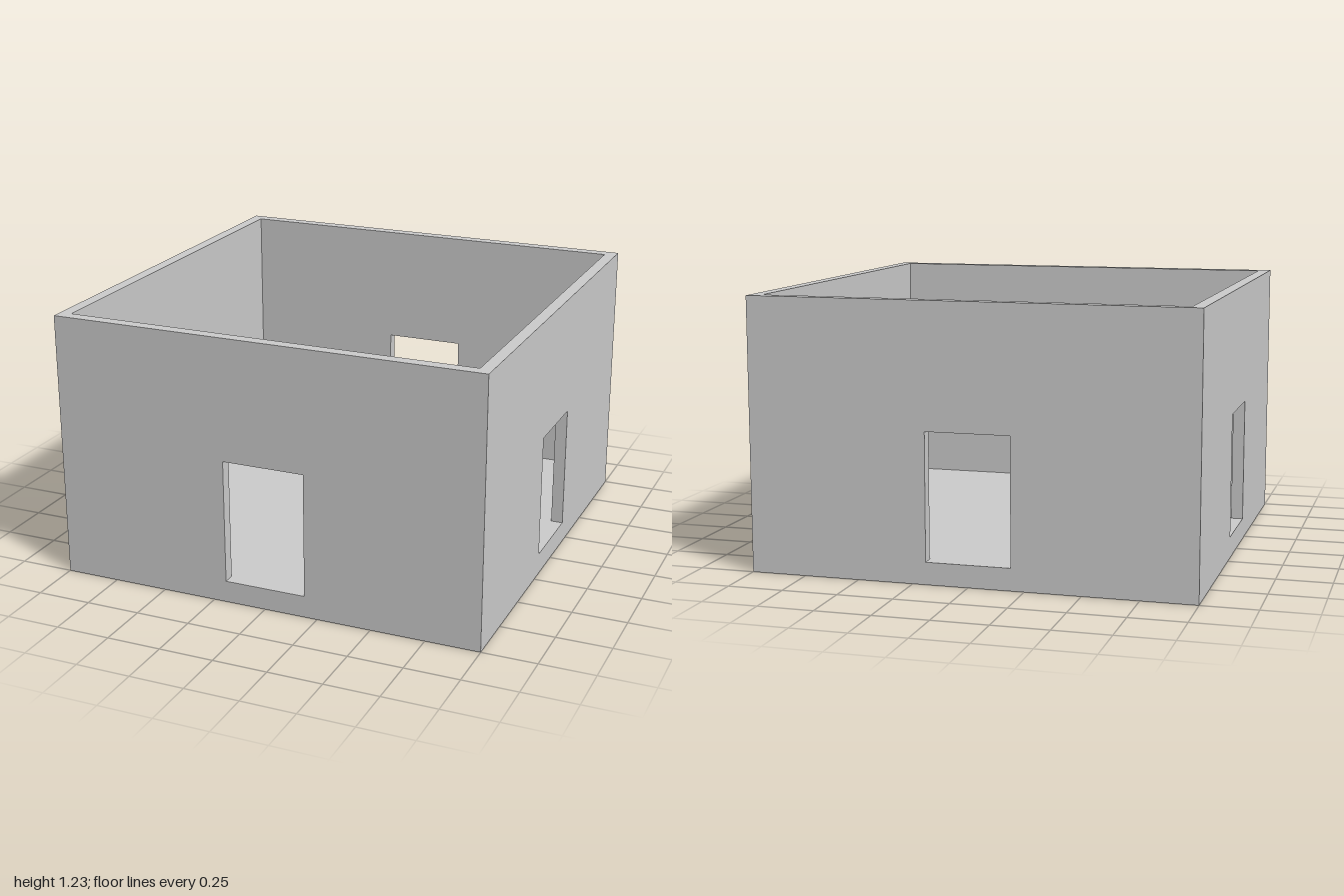
import * as THREE from 'three';

const HALF = 1, INNER = 0.945, TOP = 1.23, FLOOR = 0.1;
const DOOR_HALF = 0.19, DOOR_TOP = 0.67;
const THICK = HALF - INNER;

const material = new THREE.MeshStandardMaterial({
  color: 0xcccccc, flatShading: true, side: THREE.DoubleSide,
});

function part(name, geometry, parent) {
  const mesh = new THREE.Mesh(geometry, material);
  mesh.name = name;
  parent.add(mesh);
  return mesh;
}

const outline = (points) => points.map(([x, y]) => new THREE.Vector2(x, y));
const rect = (x, y0, y1) => outline([[-x, y0], [x, y0], [x, y1], [-x, y1]]);

// One hollow wall facing +z, with a doorway through it
function createWall() {
  const wall = new THREE.Group();

  // Outer skin reaches the ground, below the raised floor
  const outer = new THREE.Shape(rect(HALF, 0, TOP));
  outer.holes.push(new THREE.Path(rect(DOOR_HALF, FLOOR, DOOR_TOP)));
  part('outerWall', new THREE.ShapeGeometry(outer), wall).position.z = HALF;

  // Inner skin starts at the floor, notched by the doorway
  const inner = new THREE.Shape(outline([
    [-INNER, FLOOR], [-DOOR_HALF, FLOOR], [-DOOR_HALF, DOOR_TOP], [DOOR_HALF, DOOR_TOP],
    [DOOR_HALF, FLOOR], [INNER, FLOOR], [INNER, TOP], [-INNER, TOP],
  ]));
  const innerWall = part('innerWall', new THREE.ShapeGeometry(inner), wall);
  innerWall.rotation.y = Math.PI;
  innerWall.position.z = INNER;

  // Doorway lining: two jambs, lintel and sill
  const middle = (HALF + INNER) / 2;
  for (const side of [-1, 1]) {
    const jamb = part('doorJamb', new THREE.PlaneGeometry(THICK, DOOR_TOP - FLOOR), wall);
    jamb.rotation.y = -side * Math.PI / 2;
    jamb.position.set(side * DOOR_HALF, (DOOR_TOP + FLOOR) / 2, middle);
  }
  const lintel = part('doorLintel', new THREE.PlaneGeometry(DOOR_HALF * 2, THICK), wall);
  lintel.rotation.x = Math.PI / 2;
  lintel.position.set(0, DOOR_TOP, middle);
  const sill = part('doorSill', new THREE.PlaneGeometry(DOOR_HALF * 2, THICK), wall);
  sill.rotation.x = -Math.PI / 2;
  sill.position.set(0, FLOOR, middle);
  return wall;
}

export function createModel() {
  const model = new THREE.Group();
  model.name = 'room';

  // Four matching walls
  ['front', 'left', 'back', 'right'].forEach((name, i) => {
    const wall = createWall();
    wall.name = name + 'Wall';
    wall.rotation.y = i * Math.PI / 2;
    model.add(wall);
  });

  // Rim closing the top of the walls
  const rimShape = new THREE.Shape(rect(HALF, -HALF, HALF));
  rimShape.holes.push(new THREE.Path(rect(INNER, -INNER, INNER)));
  const rim = part('wallTopRim', new THREE.ShapeGeometry(rimShape), model);
  rim.rotation.x = -Math.PI / 2;
  rim.position.y = TOP;

  // Raised floor
  const floor = part('floor', new THREE.PlaneGeometry(INNER * 2, INNER * 2), model);
  floor.rotation.x = -Math.PI / 2;
  floor.position.y = FLOOR;

  return model;
}
